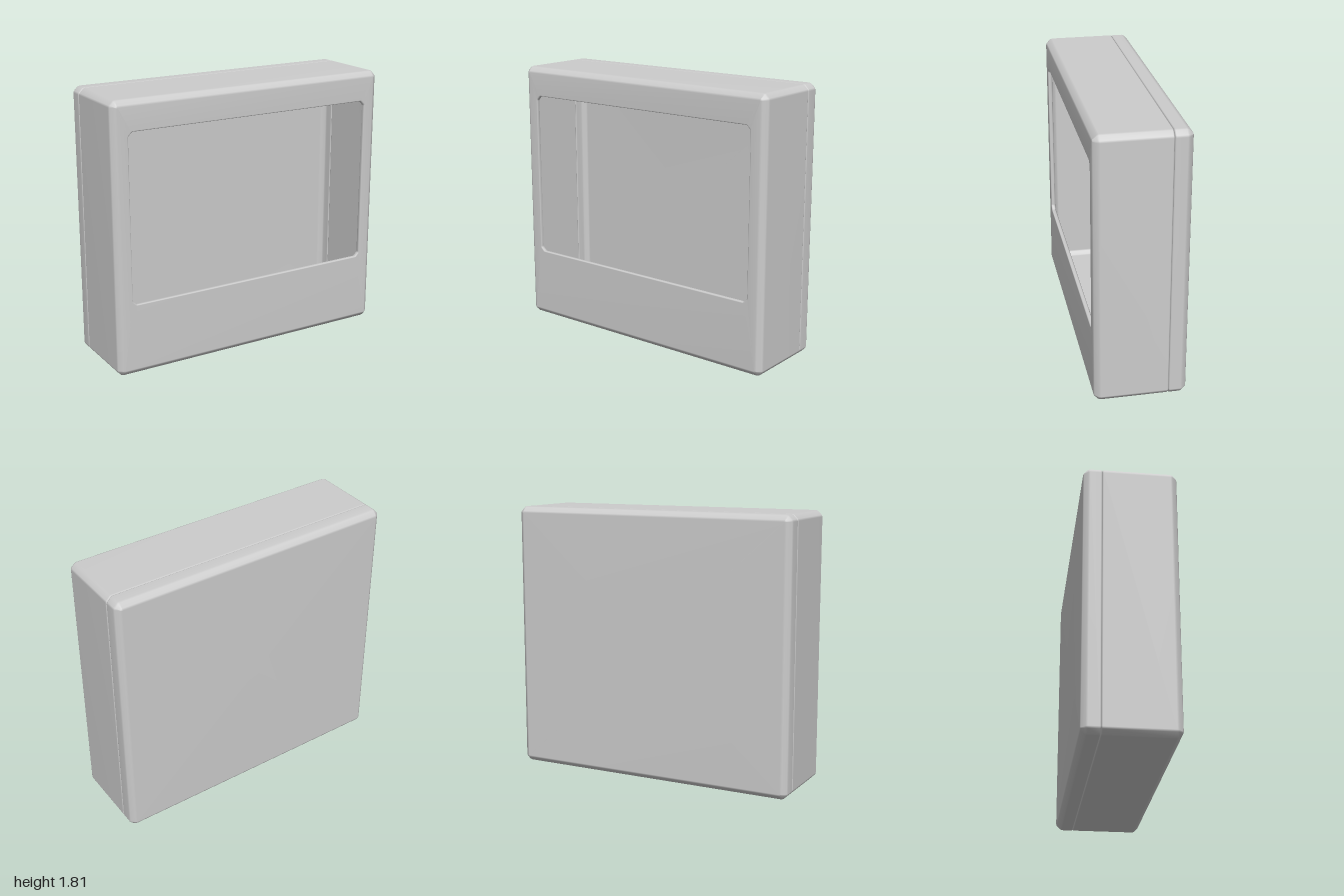
import * as THREE from 'three';

const W = 1, H = 0.905, CY = 0.905;   // outer half width, half height, centre height
const WALL = 0.03, SEAM = -0.18, R = 0.043, R_IN = 0.036;

// softened chamfer: [share of inset, share of depth]
const STEPS = [[1, 0], [0.7, 0.12], [0.12, 0.7], [0, 1]];

// closed outline of a rectangle with softened corners, counter-clockwise seen from +z
function outline(w, h, cy, cut, z) {
  const pts = [];
  [[1, 1], [-1, 1], [-1, -1], [1, -1]].forEach(([sx, sy], k) => {
    const steps = STEPS.map(([a, b]) => [b * cut, a * cut]);
    if (k % 2) steps.reverse();
    for (const [dx, dy] of steps) pts.push([sx * (w - dx), cy + sy * (h - dy), z]);
  });
  return pts;
}

const ring = (inset, z, cut) => outline(W - inset, H - inset, CY, cut, z);
const centre = (z) => outline(0, 0, CY, 0, z);

// rounded transition from a flat face at depth z to the side wall
function edge(base, z, dir, r) {
  return STEPS.map(([u, v]) => ring(base + r * u, z + dir * r * v, Math.max(0.003, r * (1 - u))));
}

// softened rim of a shell half, from the outer wall to the inner wall
function rim(dir) {
  return [[0, 0.009], [0.002, 0.004], [0.007, 0], [0.023, 0], [0.028, 0.004], [WALL, 0.009]]
    .map(([inset, dz]) => ring(inset, SEAM + dir * dz, R - (R - R_IN) * inset / WALL));
}

// skin successive outlines; shared vertices give smooth bevels
function skin(rings, closed) {
  const n = rings[0].length, index = [];
  const last = closed ? rings.length : rings.length - 1;
  for (let i = 0; i < last; i++) {
    const k = (i + 1) % rings.length;
    for (let j = 0; j < n; j++) {
      const m = (j + 1) % n;
      const a = i * n + j, b = i * n + m, d = k * n + j, c = k * n + m;
      index.push(a, d, b, b, d, c);
    }
  }
  const g = new THREE.BufferGeometry();
  g.setAttribute('position', new THREE.Float32BufferAttribute(rings.flat(2), 3));
  g.setIndex(index);
  g.computeVertexNormals();
  return g;
}

export function createModel() {
  const group = new THREE.Group();
  const grey = new THREE.MeshStandardMaterial({ color: 0xcccccc });
  grey.name = 'grey plastic';
  const add = (name, geometry) => {
    const mesh = new THREE.Mesh(geometry, grey);
    mesh.name = name;
    group.add(mesh);
  };

  // front housing: hollow frame with a window opening
  const opening = (grow, z) => outline(0.89 + grow, 0.5625 + grow, 1.0475, 0.035, z);
  add('frontHousing', skin([
    opening(0, 0.293),
    opening(0.002, 0.298),
    opening(0.007, 0.3),
    ...edge(0, 0.3, -1, R),
    ...rim(1),
    ...edge(WALL, 0.3 - WALL, -1, R_IN).reverse(),
    opening(0.007, 0.27),
    opening(0, 0.277),
  ], true));

  // back cover: shallow tray closing the housing
  add('backCover', skin([
    centre(-0.3 + WALL),
    ...edge(WALL, -0.3 + WALL, 1, R_IN),
    ...rim(-1).reverse(),
    ...edge(0, -0.3, 1, R).reverse(),
    centre(-0.3),
  ], false));

  return group;
}
